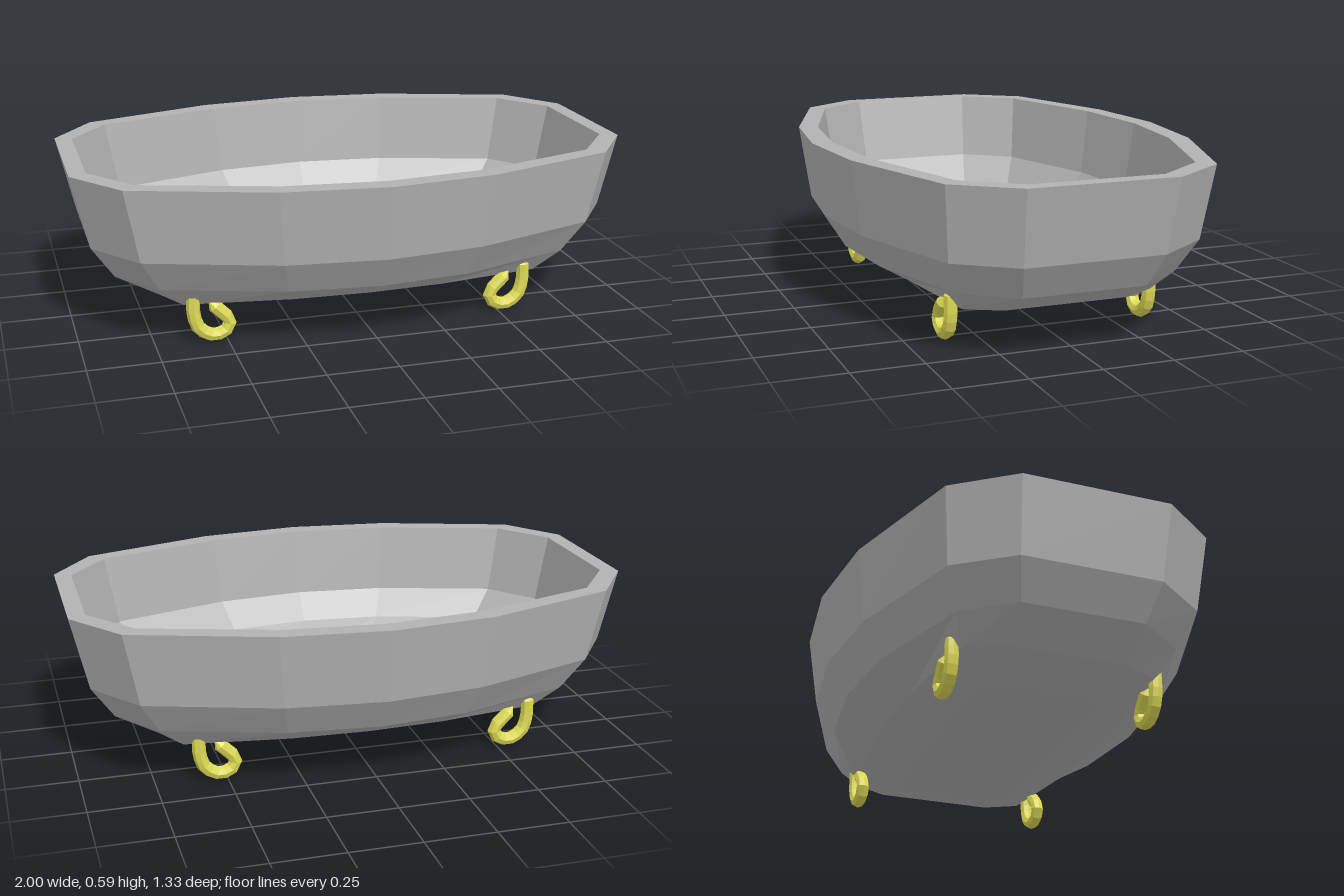
import * as THREE from 'three';

// Fourteen-sided outlines in units of half length and half width: rim and squarer floor
const mirrored = (quarter) => {
  const half = [...quarter, ...quarter.slice(0, 3).reverse().map(([x, z]) => [-x, z])];
  return [...half, ...half.map(([x, z]) => [-x, -z])];
};
const rimOutline = mirrored([[1, 0.39], [0.85, 0.7], [0.37, 0.94], [0, 1]]);
const floorOutline = mirrored([[1, 0.7], [0.97, 0.98], [0.4, 1], [0, 1]]);

// Cross-sections [y, half length, half width, squareness]:
// up the outside, over the rim and down the inside
const sections = [
  [0.09, 0, 0, 0], [0.09, 0.5, 0.22, 1], [0.135, 0.71, 0.405, 0.5], [0.215, 0.86, 0.555, 0],
  [0.335, 0.94, 0.63, 0], [0.597, 1, 0.667, 0],
  [0.597, 0.94, 0.595, 0], [0.35, 0.89, 0.56, 0], [0.25, 0.8, 0.49, 0],
  [0.165, 0.63, 0.36, 0.5], [0.125, 0.46, 0.19, 1], [0.125, 0, 0, 0],
];

function tubGeometry() {
  const positions = [];
  const indices = [];
  const n = rimOutline.length;
  const last = sections.length - 2;
  for (const [y, sx, sz, square] of sections) {
    rimOutline.forEach(([x, z], i) => {
      const [fx, fz] = floorOutline[i];
      positions.push(
        sx * THREE.MathUtils.lerp(x, fx, square), y,
        sz * THREE.MathUtils.lerp(z, fz, square));
    });
  }
  for (let s = 0; s <= last; s++) {
    for (let i = 0; i < n; i++) {
      const a = s * n + i;
      const b = s * n + (i + 1) % n;
      // The first and last sections are single points, so they need one triangle per side
      if (s > 0) indices.push(a, a + n, b);
      if (s < last) indices.push(b, a + n, b + n);
    }
  }
  const geometry = new THREE.BufferGeometry();
  geometry.setAttribute('position', new THREE.Float32BufferAttribute(positions, 3));
  geometry.setIndex(indices);
  geometry.computeVertexNormals();
  return geometry;
}

// Curled foot: a stem going down, hooking inwards and back up to the underside of the tub
function footGeometry(side) {
  const path = [
    [0.065, 0.2], [0.065, 0.1], [0.047, 0.052], [0, 0.024],
    [-0.045, 0.036], [-0.06, 0.068], [-0.042, 0.095], [-0.015, 0.12], [0.012, 0.15],
  ].map(([x, y]) => new THREE.Vector3(side * x, y, 0));
  const curve = new THREE.CatmullRomCurve3(path);
  const steps = 14;
  const radial = 8;
  const geometry = new THREE.TubeGeometry(curve, steps, 0.024, radial, false);
  // Draw both ends together so the tube is closed
  const position = geometry.attributes.position;
  for (const step of [0, steps]) {
    const centre = curve.getPointAt(step / steps);
    for (let j = 0; j <= radial; j++) {
      position.setXYZ(step * (radial + 1) + j, centre.x, centre.y, centre.z);
    }
  }
  geometry.computeVertexNormals();
  return geometry;
}

export function createModel() {
  const group = new THREE.Group();
  const enamel = new THREE.MeshStandardMaterial({ color: 0xb2b2b2, flatShading: true });
  enamel.name = 'grey enamel';
  const brass = new THREE.MeshStandardMaterial({ color: 0xdedb55, flatShading: true });
  brass.name = 'brass';

  const tub = new THREE.Mesh(tubGeometry(), enamel);
  tub.name = 'tub';
  group.add(tub);

  // Four feet, the hooks of each pair curling towards each other
  for (const side of [-1, 1]) {
    for (const end of [-1, 1]) {
      const foot = new THREE.Mesh(footGeometry(side), brass);
      foot.name = (end > 0 ? 'front' : 'back') + (side > 0 ? 'Left' : 'Right') + 'Foot';
      foot.position.set(side > 0 ? 0.53 : -0.55, 0, end * 0.363);
      group.add(foot);
    }
  }
  return group;
}
